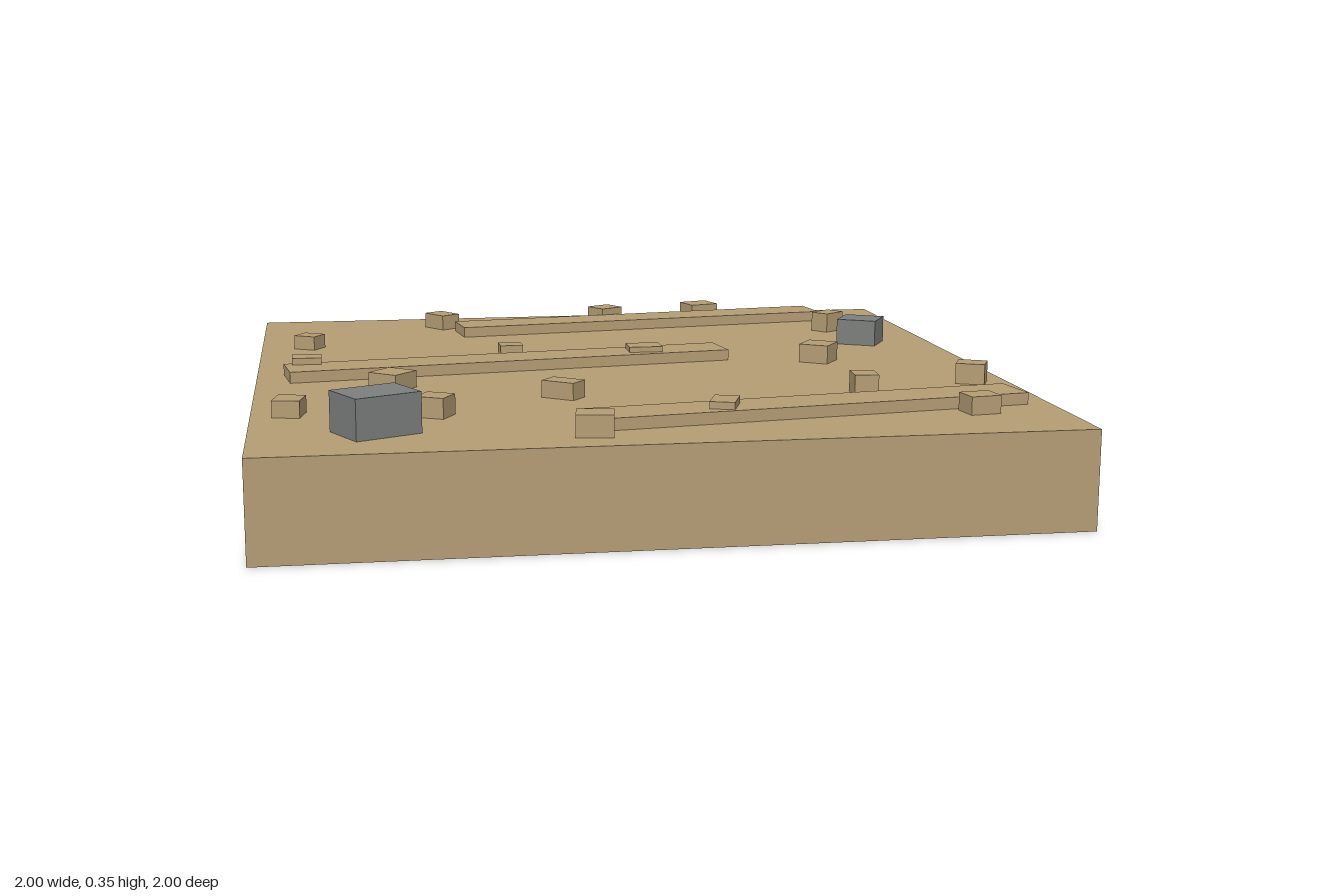
import * as THREE from 'three';

const sand = new THREE.MeshStandardMaterial({ name: 'sand', color: 0xb59d74 });
const stone = new THREE.MeshStandardMaterial({ name: 'greyStone', color: 0x7c7f7d });
const GROUND = 0.25;

// Box standing on the given base height, turned about the vertical axis
function block(name, material, x, z, width, depth, turn, top, base = GROUND) {
  const mesh = new THREE.Mesh(new THREE.BoxGeometry(width, top - base, depth), material);
  mesh.name = name;
  mesh.position.set(x, (top + base) / 2, z);
  mesh.rotation.y = turn;
  return mesh;
}

export function createModel() {
  const model = new THREE.Group();
  model.name = 'sandTile';

  // Ground slab
  model.add(block('groundSlab', sand, 0, 0, 2, 2, 0, GROUND, 0));

  // Long low ridges: x, z, length
  const ridges = [[0.185, -0.755, 1.18], [-0.3, -0.055, 1.25], [0.37, 0.695, 1.13]];
  ridges.forEach(([x, z, length], i) =>
    model.add(block(`ridge${i + 1}`, sand, x, z, length, 0.135, 0.142, 0.28)));

  // Scattered pebbles: x, z, width, depth, turn, top
  const pebbles = [
    [-0.445, -0.815, 0.065, 0.09, 0.6, 0.295],
    [0.085, -0.85, 0.08, 0.075, 0.53, 0.3],
    [0.41, -0.925, 0.093, 0.085, 0.3, 0.295],
    [-0.86, -0.475, 0.068, 0.062, -0.54, 0.29],
    [0.755, -0.575, 0.08, 0.06, 0.65, 0.308],
    [-0.285, -0.215, 0.065, 0.06, 0.03, 0.29],
    [-0.865, -0.045, 0.08, 0.065, 0, 0.298],
    [0.088, -0.11, 0.095, 0.075, 0, 0.295],
    [0.58, -0.025, 0.085, 0.086, -0.6, 0.302],
    [-0.64, 0.21, 0.09, 0.09, -0.7, 0.295],
    [-0.21, 0.405, 0.095, 0.06, -0.67, 0.295],
    [0.9, 0.365, 0.077, 0.068, -0.45, 0.305],
    [0.57, 0.475, 0.063, 0.075, -0.08, 0.305],
    [-0.905, 0.53, 0.07, 0.08, -0.2, 0.293],
    [-0.55, 0.595, 0.075, 0.07, -0.5, 0.302],
    [0.145, 0.73, 0.063, 0.09, -0.35, 0.298],
    [0.785, 0.755, 0.08, 0.07, 0.14, 0.296],
    [-0.195, 0.875, 0.09, 0.075, -0.15, 0.305],
  ];
  pebbles.forEach((p, i) => model.add(block(`pebble${i + 1}`, sand, ...p)));

  // Larger grey rocks
  model.add(block('smallRock', stone, 0.79, -0.325, 0.117, 0.11, -0.52, 0.325));
  model.add(block('largeRock', stone, -0.7, 0.77, 0.172, 0.137, 0.45, 0.35));

  return model;
}
